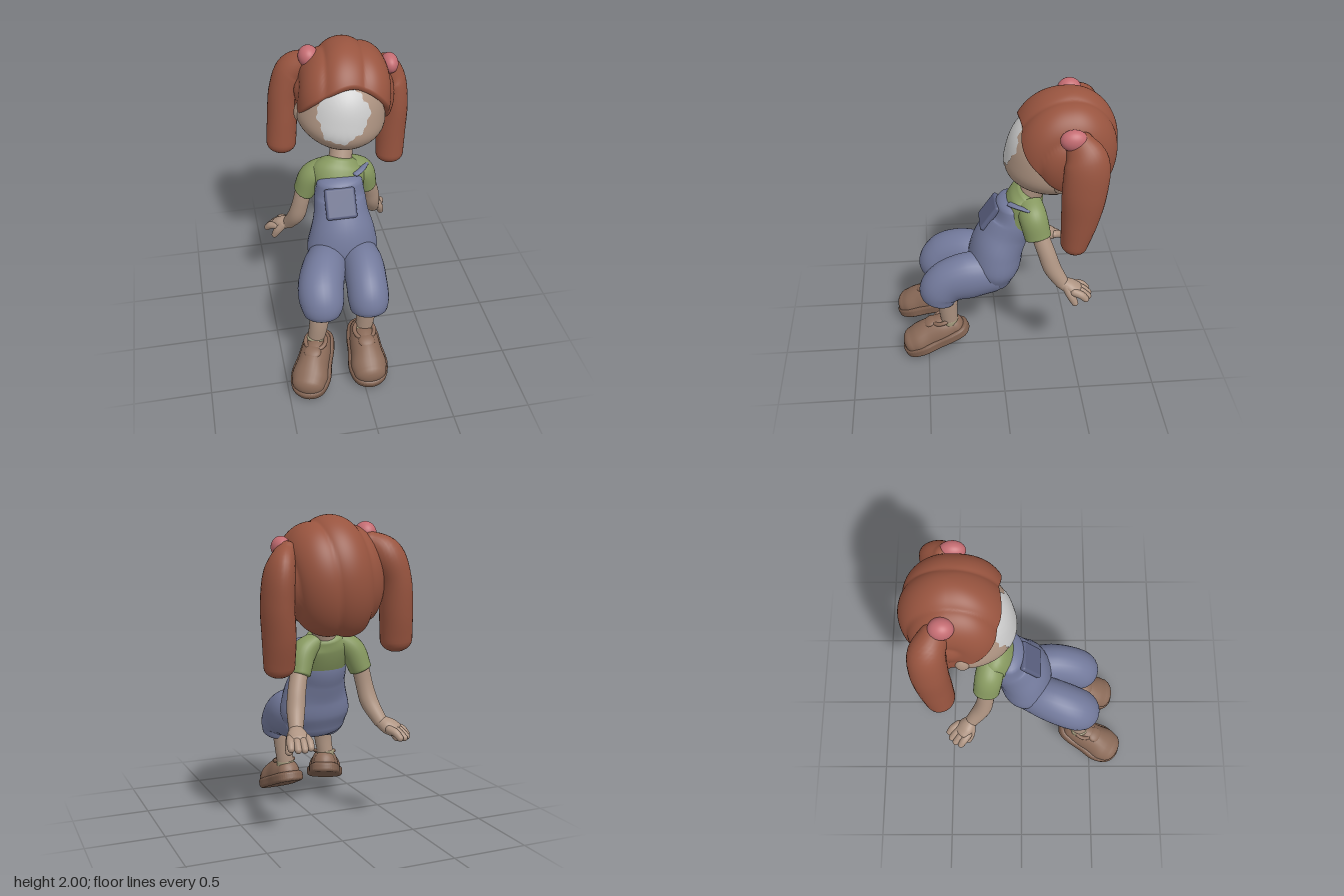
import * as THREE from 'three';
import { mergeVertices } from 'three/addons/utils/BufferGeometryUtils.js';
import { RoundedBoxGeometry } from 'three/addons/geometries/RoundedBoxGeometry.js';

const mat = (color) => new THREE.MeshStandardMaterial({ color, side: THREE.DoubleSide });
const SKIN = mat(0xae9482), HAIR = mat(0x98543f), DENIM = mat(0x737a9c), POCKET = mat(0x5c6282);
const SHIRT = mat(0x86985f), PINK = mat(0xc46c72), SHOE = mat(0x8a6a58), SOLE = mat(0x7e604f);
const SOCK = mat(0xa29a7c), PALE = mat(0xcccccc);

function add(parent, name, geometry, material, pos = [0, 0, 0], scale = [1, 1, 1]) {
  const mesh = new THREE.Mesh(geometry, material);
  mesh.name = name;
  mesh.position.set(...pos);
  mesh.scale.set(...scale);
  parent.add(mesh);
  return mesh;
}

// Round-ended loft through points [x, y, z, halfWidth, halfDepth]
function loft(points, cap = 0.7, seg = 28, sides = 28) {
  const path = new THREE.CatmullRomCurve3(points.map((p) => new THREE.Vector3(p[0], p[1], p[2])));
  const size = new THREE.CatmullRomCurve3(points.map((p) => new THREE.Vector3(p[3], p[4] ?? p[3], 0)), false, 'catmullrom');
  const rings = [];
  const ring = (t, push, shrink) => {
    const c = path.getPoint(t), r = size.getPoint(t), T = path.getTangent(t);
    c.addScaledVector(T, push * cap * Math.min(r.x, r.y));
    const S = new THREE.Vector3(1, 0, 0).addScaledVector(T, -T.x).normalize();
    rings.push({ c, S, B: T.clone().cross(S), a: r.x * shrink, b: r.y * shrink });
  };
  const n = 6;
  for (let k = n; k > 0; k--) ring(0, -Math.sin(k / n * Math.PI / 2), Math.max(Math.cos(k / n * Math.PI / 2), 0.001));
  for (let i = 0; i <= seg; i++) ring(i / seg, 0, 1);
  for (let k = 1; k <= n; k++) ring(1, Math.sin(k / n * Math.PI / 2), Math.max(Math.cos(k / n * Math.PI / 2), 0.001));
  const pos = [], index = [];
  rings.forEach(({ c, S, B, a, b }, i) => {
    for (let j = 0; j < sides; j++) {
      const w = j / sides * Math.PI * 2;
      const p = c.clone().addScaledVector(S, a * Math.cos(w)).addScaledVector(B, b * Math.sin(w));
      pos.push(p.x, p.y, p.z);
      if (i === rings.length - 1) continue;
      const k = (j + 1) % sides, A = i * sides, D = A + sides;
      index.push(A + j, A + k, D + k, A + j, D + k, D + j);
    }
  });
  const g = new THREE.BufferGeometry();
  g.setAttribute('position', new THREE.Float32BufferAttribute(pos, 3));
  g.setIndex(index);
  g.computeVertexNormals();
  return g;
}

// Moves every vertex by a rule
function reshape(g, rule) {
  const p = g.attributes.position, v = new THREE.Vector3();
  for (let i = 0; i < p.count; i++) {
    rule(v.fromBufferAttribute(p, i), i);
    p.setXYZ(i, v.x, v.y, v.z);
  }
  g.computeVertexNormals();
  return g;
}

const ball = (w = 32, h = 24) => new THREE.SphereGeometry(1, w, h);
// Fullness of the cheeks sideways, and of the jaw forward, at a height on the head
const cheek = (y) => 1 + 0.13 * Math.exp(-(((y + 0.14) / 0.12) ** 2));
const jaw = (y) => cheek(y) * (1 + 2.8 * Math.min(y, 0) ** 2);

// Hair dome: low rim at the back, arched fringe, grooves running front to back
function hairGeometry() {
  const g = new THREE.SphereGeometry(1, 128, 64, 0, Math.PI * 2, 0, 3);
  const uv = g.attributes.uv.clone();
  reshape(g, (v, i) => {
    const a = uv.getX(i) * Math.PI * 2, t = 1 - uv.getY(i);
    const cx = -Math.cos(a), cz = Math.sin(a);
    const rim = cz > 0 ? 1.98 - 0.95 * cz ** 1.8 : 1.98 + 0.62 * (-cz) ** 0.7;
    const s = Math.max(0, (t - 0.85) / 0.15);
    const th = rim * Math.min(1, t / 0.85) + 0.06 * Math.sin(Math.PI * s);
    const nx = Math.sin(th) * cx, ny = Math.cos(th), nz = Math.sin(th) * cz;
    const u = Math.asin(THREE.MathUtils.clamp(nx, -1, 1));
    const lobe = 0.93 + 0.085 * (Math.sin((u - 0.2) * Math.PI / 0.78) ** 2 + 0.01) ** 0.25;
    const corner = cz > 0 ? 1 + 0.07 * Math.sin(2 * a) ** 2 * Math.sin(th) ** 2 : 1;
    const k = lobe * corner * (1 - 0.14 * s);
    v.set(nx * 0.322 * k, ny * (ny > 0 ? 0.36 : 0.405) * k, nz * (nz > 0 ? 0.345 : 0.305) * k);
  });
  g.deleteAttribute('uv');
  g.deleteAttribute('normal');
  const merged = mergeVertices(g);
  merged.computeVertexNormals();
  return merged;
}

function makeHead() {
  const head = new THREE.Group();
  head.name = 'head';
  head.position.set(0.035, 1.59, -0.335);
  head.rotation.z = -0.14;
  const R = [0.275, 0.28, 0.285];
  add(head, 'face', reshape(ball(48, 36), (v) => {
    const y = v.y * R[1];
    // The jaw narrows toward the nape
    const nape = 1 - 0.45 * Math.max(0, -v.z) * Math.max(0, -v.y);
    v.set(v.x * R[0] * cheek(y) * nape, y * nape, v.z * R[2] * (v.z > 0 ? jaw(y) : nape));
  }), SKIN);
  // Pale ragged area lying on the face
  add(head, 'facePatch', reshape(new THREE.RingGeometry(0.001, 1, 72, 12), (v) => {
    const a = Math.atan2(v.y, v.x);
    const rag = 1 + 0.07 * Math.sin(3 * a + 1) + 0.05 * Math.sin(8 * a) + 0.04 * Math.sin(17 * a);
    const x = v.x * 0.16 * rag - 0.05, y = v.y * 0.175 * rag + 0.05;
    v.set(x, y, R[2] * jaw(y) * Math.sqrt(1 - (x / R[0] / cheek(y)) ** 2 - (y / R[1]) ** 2) + 0.004);
  }), PALE);
  for (const s of [-1, 1]) add(head, 'ear', ball(), SKIN, [s * 0.275, -0.07, -0.01], [0.03, 0.065, 0.045]);
  add(head, 'hair', hairGeometry(), HAIR, [0.015, 0.05, -0.08]);
  return head;
}

// Palm, four fingers and a thumb, pointing along a direction
function makeHand(name, wrist, dir, thumbSide) {
  const hand = new THREE.Group();
  hand.name = name;
  const d = new THREE.Vector3(...dir).normalize();
  const s = new THREE.Vector3(0, 1, 0).cross(d).normalize();
  const w = new THREE.Vector3(...wrist);
  const at = (f, side, drop = 0) => w.clone().addScaledVector(d, f).addScaledVector(s, side).add(new THREE.Vector3(0, drop, 0)).toArray();
  add(hand, 'palm', loft([[...at(0, 0), 0.044, 0.042], [...at(0.05, 0), 0.062, 0.046], [...at(0.1, 0), 0.062, 0.038]]), SKIN);
  for (let i = 0; i < 4; i++) {
    const o = (i - 1.5) * 0.033, len = 0.185 - 0.015 * Math.abs(i - 1.5);
    add(hand, 'finger', loft([[...at(0.08, o), 0.026], [...at(0.13, o * 1.15, 0.004), 0.026], [...at(len, o * 1.2, -0.012), 0.022]], 1, 8, 14), SKIN);
  }
  const t = thumbSide;
  add(hand, 'thumb', loft([[...at(0.03, t * 0.025), 0.032], [...at(0.06, t * 0.05, -0.035), 0.029], [...at(0.09, t * 0.06, -0.075), 0.022]], 1, 8, 14), SKIN);
  return hand;
}

function makeShoe(name, pos, yaw) {
  const shoe = new THREE.Group();
  shoe.name = name;
  shoe.position.set(...pos);
  shoe.rotation.set(0.4, yaw, 0, 'YXZ');
  // Sole outline, extruded upward with a rounded edge
  const half = [[0, 0.22], [0.075, 0.19], [0.105, 0.1], [0.09, -0.02], [0.08, -0.13], [0.055, -0.2], [0, -0.22]];
  const outline = [...half, ...half.slice(1, -1).reverse().map(([x, z]) => [-x, z])];
  const curve = new THREE.CatmullRomCurve3(outline.map(([x, z]) => new THREE.Vector3(x, -z, 0)), true);
  const shape = new THREE.Shape(curve.getPoints(64).slice(0, -1).map((p) => new THREE.Vector2(p.x, p.y)));
  const sole = new THREE.ExtrudeGeometry(shape, { depth: 0.03, bevelSize: 0.025, bevelThickness: 0.02, bevelSegments: 5 });
  sole.rotateX(-Math.PI / 2);
  add(shoe, 'sole', sole, SOLE, [0, 0.02, 0]);
  const upper = loft([[0, 0.07, -0.16, 0.078, 0.09], [0, 0.07, -0.08, 0.095, 0.12], [0, 0.07, 0.02, 0.103, 0.12],
    [0, 0.07, 0.1, 0.117, 0.105], [0, 0.07, 0.155, 0.108, 0.088]], 0.8);
  add(shoe, 'upper', reshape(upper, (v) => { v.y = Math.max(v.y, 0.045); }), SHOE);
  const collar = add(shoe, 'collar', new THREE.TorusGeometry(0.066, 0.014, 12, 32), SHOE, [0, 0.165, -0.105]);
  collar.rotation.x = -Math.PI / 2 - 0.1;
  add(shoe, 'tongue', ball(20, 14), SHOE, [0, 0.175, -0.02], [0.055, 0.022, 0.05]);
  return shoe;
}

export function createModel() {
  const model = new THREE.Group();
  model.name = 'seatedChild';
  model.add(makeHead());
  add(model, 'neck', loft([[-0.01, 1.22, -0.19, 0.08], [0.01, 1.32, -0.23, 0.075], [0.02, 1.42, -0.28, 0.08]]), SKIN);

  // Pigtails and their bands
  add(model, 'rightPigtail', loft([[-0.16, 1.83, -0.48, 0.075, 0.085], [-0.25, 1.765, -0.53, 0.105, 0.11], [-0.31, 1.63, -0.535, 0.1, 0.115],
    [-0.335, 1.42, -0.52, 0.1, 0.11], [-0.35, 1.25, -0.5, 0.1, 0.095]], 0.8), HAIR);
  add(model, 'leftPigtail', loft([[0.34, 1.8, -0.43, 0.06, 0.08], [0.395, 1.69, -0.475, 0.085, 0.13], [0.41, 1.5, -0.47, 0.095, 0.135],
    [0.395, 1.3, -0.455, 0.1, 0.115], [0.385, 1.12, -0.43, 0.095, 0.085]], 0.8), HAIR);
  add(model, 'rightHairBand', ball(), PINK, [-0.16, 1.89, -0.445], [0.065, 0.07, 0.075]);
  add(model, 'leftHairBand', ball(), PINK, [0.36, 1.815, -0.4], [0.055, 0.065, 0.08]);

  // Shirt and overalls
  add(model, 'shirt', loft([[-0.03, 0.98, -0.075, 0.15, 0.11], [-0.025, 1.11, -0.135, 0.165, 0.12],
    [-0.02, 1.2, -0.175, 0.175, 0.115], [-0.01, 1.25, -0.2, 0.125, 0.095]], 0.3), SHIRT);
  add(model, 'overalls', loft([[-0.04, 0.62, 0.04, 0.2, 0.14], [-0.035, 0.72, 0.03, 0.235, 0.175], [-0.03, 0.84, 0.01, 0.215, 0.175],
    [-0.03, 0.96, -0.04, 0.18, 0.163], [-0.03, 1.06, -0.085, 0.168, 0.148], [-0.03, 1.16, -0.08, 0.15, 0.1]], 0.55), DENIM);
  const pocket = add(model, 'pocket', new RoundedBoxGeometry(0.2, 0.2, 0.04, 5, 0.018), POCKET, [-0.05, 1.085, 0.06]);
  pocket.rotation.x = -0.6;
  add(model, 'strap', loft([[0.07, 1.215, -0.06, 0.02, 0.01], [0.12, 1.222, -0.1, 0.02, 0.01], [0.165, 1.215, -0.18, 0.02, 0.01]]), DENIM);

  // Sleeves, arms and hands
  add(model, 'rightSleeve', loft([[-0.1, 1.21, -0.185, 0.065, 0.085], [-0.19, 1.15, -0.205, 0.08, 0.09], [-0.245, 1.025, -0.225, 0.07, 0.085]], 0.25), SHIRT);
  add(model, 'leftSleeve', loft([[0.06, 1.21, -0.185, 0.065, 0.085], [0.14, 1.15, -0.205, 0.08, 0.09], [0.18, 1.025, -0.235, 0.07, 0.085]], 0.25), SHIRT);
  add(model, 'rightArm', loft([[-0.24, 1.06, -0.225, 0.055], [-0.27, 0.92, -0.235, 0.055], [-0.295, 0.81, -0.26, 0.057], [-0.34, 0.695, -0.33, 0.045]]), SKIN);
  add(model, 'leftArm', loft([[0.18, 1.06, -0.24, 0.055], [0.22, 0.92, -0.29, 0.057], [0.24, 0.82, -0.325, 0.057], [0.265, 0.715, -0.39, 0.045]]), SKIN);
  model.add(makeHand('rightHand', [-0.345, 0.69, -0.335], [-0.125, -0.08, -0.14], 1));
  model.add(makeHand('leftHand', [0.268, 0.71, -0.395], [0.03, -0.065, -0.17], -1));

  // Trouser legs, shins, socks and shoes
  const legs = [
    { side: 'right', thigh: [[-0.12, 0.67, 0.04, 0.13, 0.14], [-0.19, 0.67, 0.2, 0.145, 0.165], [-0.235, 0.635, 0.34, 0.148, 0.15], [-0.238, 0.57, 0.4, 0.142, 0.14], [-0.24, 0.505, 0.415, 0.122, 0.12]],
      shin: [[-0.25, 0.54, 0.41, 0.07], [-0.265, 0.42, 0.42, 0.062], [-0.285, 0.27, 0.41, 0.055]], shoe: [-0.307, 0.1, 0.48], yaw: -0.42 },
    { side: 'left', thigh: [[0.05, 0.67, 0.04, 0.13, 0.14], [0.07, 0.665, 0.2, 0.135, 0.165], [0.068, 0.625, 0.335, 0.133, 0.15], [0.066, 0.56, 0.4, 0.133, 0.14], [0.066, 0.495, 0.415, 0.122, 0.12]],
      shin: [[0.065, 0.52, 0.36, 0.075], [0.06, 0.4, 0.355, 0.065], [0.05, 0.25, 0.345, 0.055]], shoe: [0.042, 0.087, 0.43], yaw: 0 },
  ];
  for (const { side, thigh, shin, shoe, yaw } of legs) {
    add(model, side + 'TrouserLeg', loft(thigh, 0.35), DENIM);
    add(model, side + 'Shin', loft(shin), SKIN);
    const [sx, sy, sz] = shin[2];
    add(model, side + 'Sock', loft([[sx, sy - 0.04, sz, 0.06], [sx, sy + 0.035, sz + 0.005, 0.062]], 0.25, 6), SOCK);
    model.add(makeShoe(side + 'Shoe', shoe, yaw));
  }
  return model;
}
